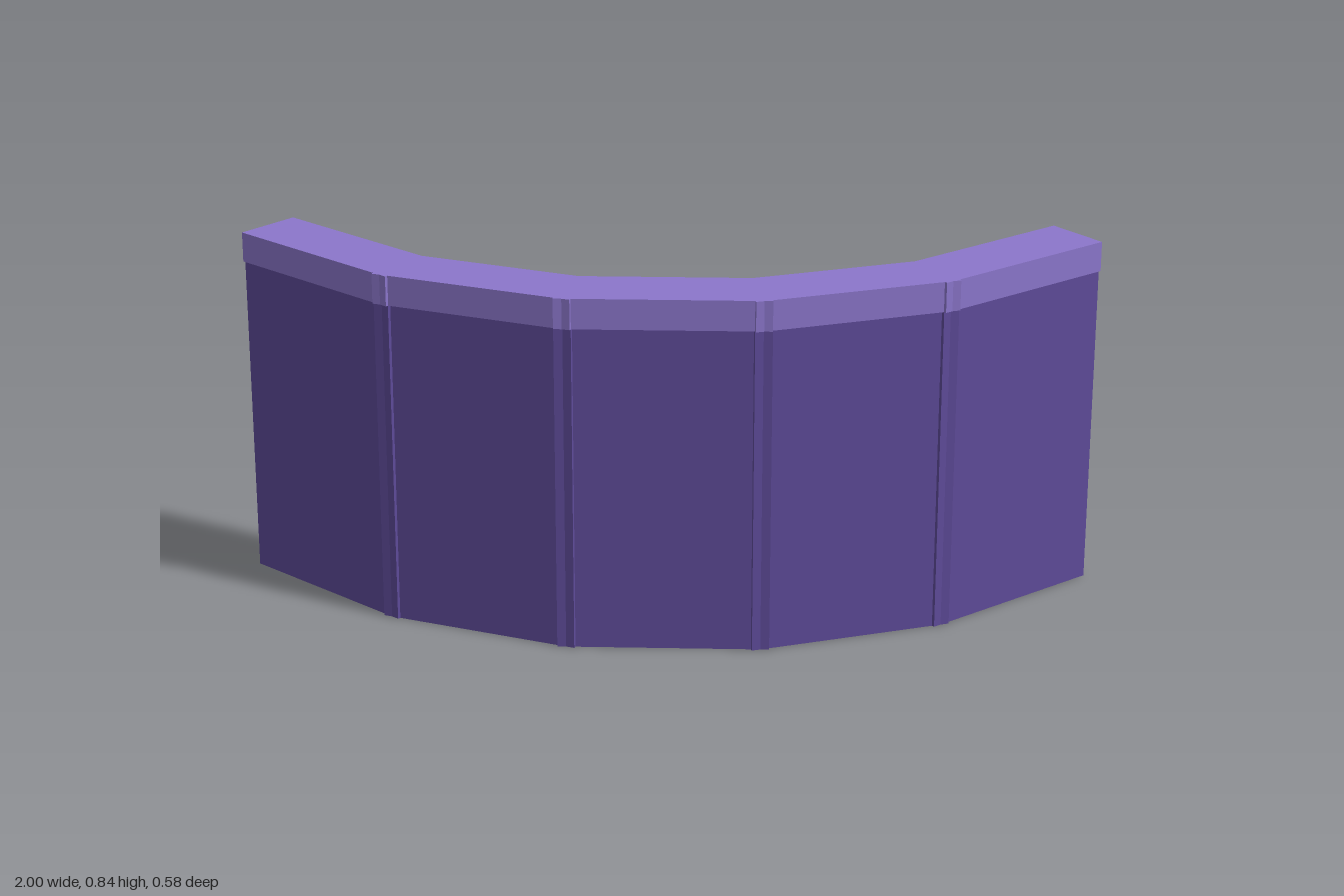
import * as THREE from 'three';

const SEGMENTS = 5;
const STEP = THREE.MathUtils.degToRad(20); // turn between neighbouring segments
const RADIUS = 1.187;                      // arc through the segment centres
const MIDDLE_Z = 0.206;                    // centre of the middle segment
const WIDTH = 0.485;                       // slightly overlapping at the joints
const BODY = { height: 0.772, depth: 0.147 };
const TOP = { height: 0.071, depth: 0.159 };

export function createModel() {
  const model = new THREE.Group();
  model.name = 'curvedCounter';

  const bodyMaterial = new THREE.MeshStandardMaterial({ color: 0x5e4b99 });
  bodyMaterial.name = 'dark purple';
  const topMaterial = new THREE.MeshStandardMaterial({ color: 0x8b76cb });
  topMaterial.name = 'light purple';

  // Panel and overhanging worktop shared by every segment
  const bodyGeometry = new THREE.BoxGeometry(WIDTH, BODY.height, BODY.depth);
  bodyGeometry.translate(0, BODY.height / 2, 0);
  const topGeometry = new THREE.BoxGeometry(WIDTH, TOP.height, TOP.depth);
  topGeometry.translate(0, BODY.height + TOP.height / 2, 0);

  for (let i = 0; i < SEGMENTS; i++) {
    const angle = (i - (SEGMENTS - 1) / 2) * STEP;
    const segment = new THREE.Group();
    segment.name = `segment${i + 1}`;
    segment.position.set(RADIUS * Math.sin(angle), 0, MIDDLE_Z - RADIUS * (1 - Math.cos(angle)));
    segment.rotation.y = angle;

    const body = new THREE.Mesh(bodyGeometry, bodyMaterial);
    body.name = 'counterBody';
    const top = new THREE.Mesh(topGeometry, topMaterial);
    top.name = 'counterTop';
    segment.add(body, top);
    model.add(segment);
  }
  return model;
}
